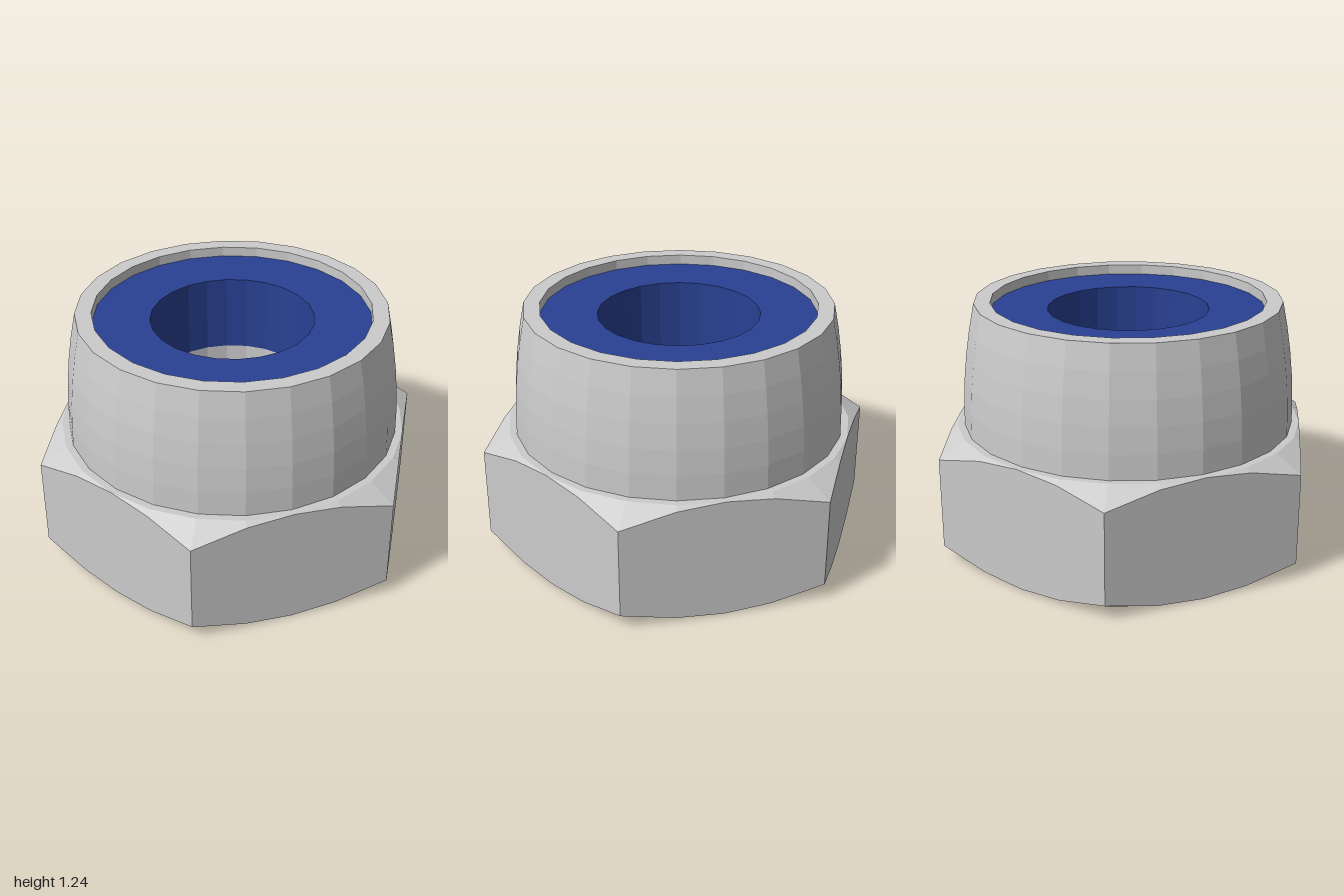
import * as THREE from 'three';

const SIDES = 24;
const FLAT = 0.866;      // centre to hexagon flat
const HEX_H = 0.62;      // height of the hexagon
const TOP = 1.24;        // top of the collar
const SEAT = 0.8;        // underside of the insert

const steel = new THREE.MeshStandardMaterial({ color: 0xcccccc, flatShading: true });
const blue = new THREE.MeshStandardMaterial({ color: 0x294193, flatShading: true });

// Profile points are [radius, height], running up the outside and down the bore
function lathe(name, profile, material) {
  const points = profile.map(([r, y]) => new THREE.Vector2(r, y));
  const mesh = new THREE.Mesh(new THREE.LatheGeometry(points, SIDES), material);
  mesh.name = name;
  return mesh;
}

// Hexagon with conical chamfers that scallop the top and bottom of each flat
function hexSides() {
  const mesh = lathe('hexSides', [[FLAT, 0], [FLAT, 0], [FLAT, HEX_H], [FLAT, HEX_H]], steel);
  const pos = mesh.geometry.attributes.position;
  for (let i = 0; i < pos.count; i++) {
    const row = i % 4;
    if (row === 0 || row === 3) continue;
    const phi = Math.floor(i / 4) * 2 * Math.PI / SIDES;
    const offset = phi - Math.round(phi / (Math.PI / 3)) * Math.PI / 3;
    const r = FLAT / Math.cos(offset);
    const drop = (r - FLAT) * 0.59;
    pos.setXYZ(i, r * Math.sin(phi), row === 1 ? drop : HEX_H - drop, r * Math.cos(phi));
  }
  mesh.geometry.computeVertexNormals();
  return mesh;
}

export function createModel() {
  const nut = new THREE.Group();
  nut.name = 'lockNut';
  nut.add(hexSides());

  // Collar curving gently inward, with rim, insert pocket, bore and countersink
  const body = [[FLAT, HEX_H]];
  for (let i = 0; i <= 5; i++) {
    const t = i / 5;
    body.push([0.83 - 0.07 * t * t, HEX_H + (TOP - HEX_H) * t]);
  }
  body.push([0.68, TOP], [0.68, SEAT], [0.4, SEAT], [0.4, 0.075], [0.52, 0], [FLAT, 0]);
  nut.add(lathe('collarAndBore', body, steel));

  // Locking ring set just below the rim
  nut.add(lathe('lockingInsert',
    [[0.4, SEAT], [0.68, SEAT], [0.68, 1.19], [0.4, 1.19], [0.4, SEAT]], blue));
  return nut;
}
